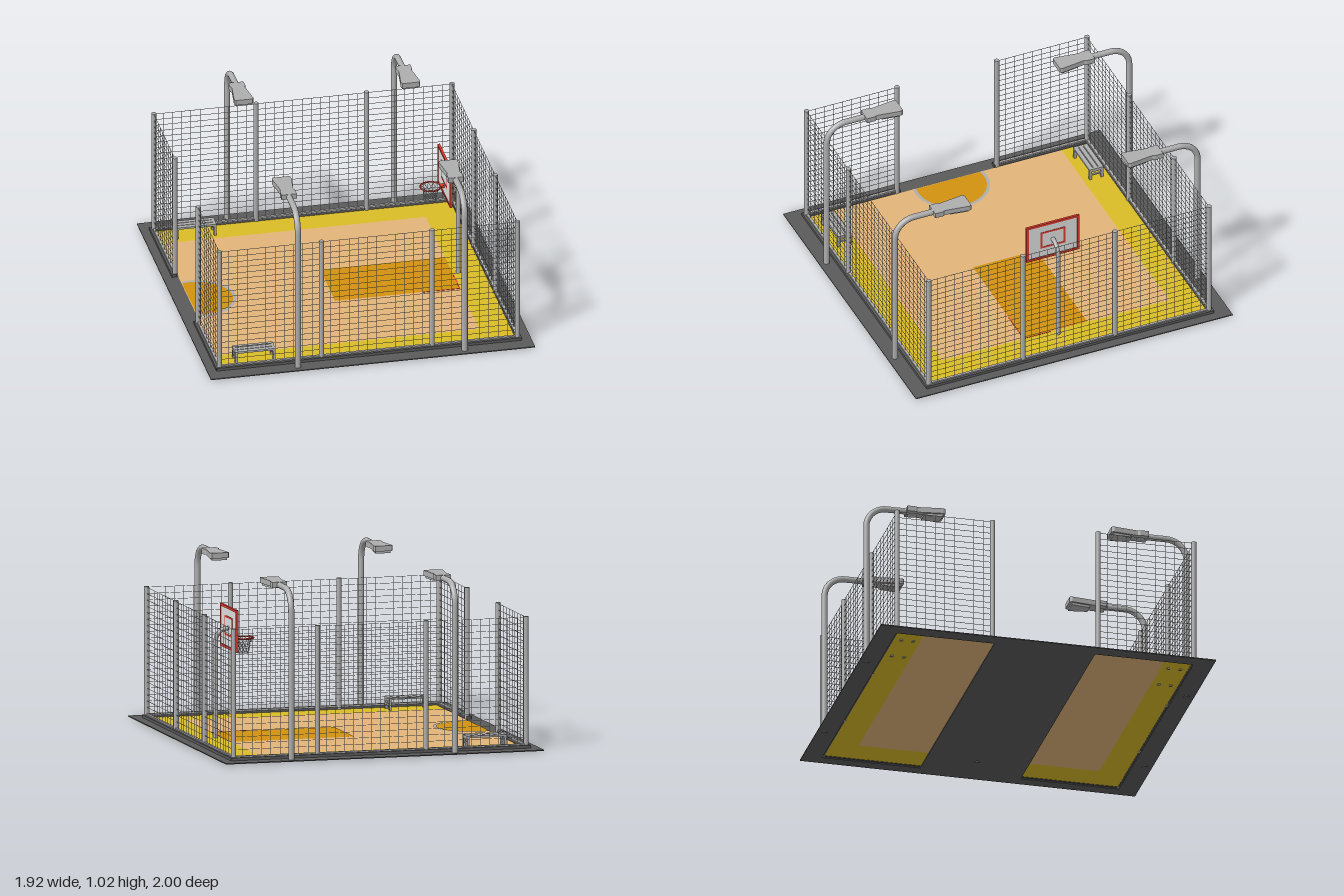
import * as THREE from 'three';
import { mergeGeometries } from 'three/addons/utils/BufferGeometryUtils.js';

const mat = (name, color, side = THREE.FrontSide) => {
  const m = new THREE.MeshStandardMaterial({ color, side });
  m.name = name;
  return m;
};

export function createModel() {
  const root = new THREE.Group();
  const M = {
    asphalt: mat('asphalt', 0x5a5a5a),
    steel: mat('steel', 0xaeaeae),
    yellow: mat('yellow floor', 0xdbbd26, THREE.DoubleSide),
    tan: mat('tan floor', 0xe3b57a, THREE.DoubleSide),
    orange: mat('orange floor', 0xd1920f, THREE.DoubleSide),
    red: mat('red paint', 0xe23b2e),
    panel: mat('backboard panel', 0xe0e2e2),
  };
  const add = (name, geo, m, parent = root) => {
    const mesh = new THREE.Mesh(geo, m);
    mesh.name = name;
    parent.add(mesh);
    return mesh;
  };
  const group = (name) => {
    const g = new THREE.Group();
    g.name = name;
    root.add(g);
    return g;
  };
  // box from its two corners
  const box = (x0, x1, y0, y1, z0, z1) =>
    new THREE.BoxGeometry(x1 - x0, y1 - y0, z1 - z0).translate((x0 + x1) / 2, (y0 + y1) / 2, (z0 + z1) / 2);
  const rect = (P, x0, x1, z0, z1) =>
    new P([[x0, z0], [x1, z0], [x1, z1], [x0, z1]].map(([x, z]) => new THREE.Vector2(x, -z)));
  // horizontal sheet at height y from a plan shape
  const flat = (shape, y) => new THREE.ShapeGeometry(shape, 24).rotateX(-Math.PI / 2).translate(0, y, 0);
  // horizontal plate of thickness h from a plan shape
  const plate = (shape, y, h) =>
    new THREE.ExtrudeGeometry(shape, { depth: h, bevelEnabled: false }).rotateX(-Math.PI / 2).translate(0, y, 0);

  // ground slab, open below the two side bays
  const slab = rect(THREE.Shape, -0.96, 0.96, 1, -1);
  for (const [z0, z1] of [[-0.885, -0.3], [0.3, 0.885]]) slab.holes.push(rect(THREE.Path, -0.87, 0.885, z0, z1));
  add('ground', plate(slab, 0.005, 0.006), M.asphalt);

  // painted floor
  const border = rect(THREE.Shape, -0.87, 0.89, 0.89, -0.89);
  border.holes.push(rect(THREE.Path, -0.869, 0.69, -0.718, 0.718));
  add('floorBorder', flat(border, 0.013), M.yellow);
  add('court', flat(rect(THREE.Shape, -0.87, 0.69, 0.718, -0.718), 0.013), M.tan);
  add('key', flat(rect(THREE.Shape, -0.05, 0.69, 0.2, -0.2), 0.0145), M.orange);
  add('redKeyLine', mergeGeometries([
    box(0.47, 0.692, 0.0135, 0.0155, 0.199, 0.204), box(0.687, 0.692, 0.0135, 0.0155, 0.03, 0.199),
  ]), M.red);

  // half circle by the entrance, cut off at the court edge
  const a = Math.acos(-0.05 / 0.225);
  const half = new THREE.Shape();
  half.absarc(-0.82, 0, 0.21, -a, a, false);
  add('halfCircle', flat(half, 0.0145), M.orange);
  const arc = new THREE.Shape();
  arc.absarc(-0.82, 0, 0.225, -a, a, false);
  arc.absarc(-0.82, 0, 0.206, a, -a, true);
  add('halfCircleLine', flat(arc, 0.016), M.steel);

  // fence: runs of kerb, rail and wire grid between two plan points
  const F = 0.885, top = 0.78;
  const fence = group('fence');
  const wires = [], kerbs = [], rails = [], posts = [];
  const run = (x0, z0, x1, z1) => {
    const dx = x1 - x0, dz = z1 - z0, len = Math.hypot(dx, dz), ang = -Math.atan2(dz, dx);
    const out = Math.sign((z0 + z1) * dx - (x0 + x1) * dz); // which local side faces away from the court
    const put = (list, g) => list.push(g.rotateY(ang).translate(x0, 0, z0));
    put(kerbs, box(-0.02, len + 0.02, 0.011, 0.028, -0.016, 0.016).translate(0, 0, out * 0.007));
    put(rails, box(0, len, 0.028, 0.036, -0.008, 0.008));
    const n = Math.round(len / 0.055), rows = 20, t = 0.0011;
    for (let i = 1; i < n; i++) {
      const u = (i / n) * len;
      put(wires, box(u - t, u + t, 0.03, top - 0.005, -t, t));
    }
    for (let j = 1; j <= rows; j++) {
      const y = 0.036 + (j / rows) * (top - 0.042);
      put(wires, box(0, len, y - t, y + t, -t, t));
    }
  };
  const post = (x, z) => posts.push(new THREE.CylinderGeometry(0.015, 0.015, top - 0.01, 12).translate(x, (top + 0.01) / 2, z));
  for (const s of [-1, 1]) {
    const xs = [-F, -0.28, 0.375, 0.88];
    xs.forEach((x, i) => {
      post(x, s * F);
      if (i) run(xs[i - 1], s * F, x, s * F);
    });
    post(0.88, s * 0.29);
    run(0.88, s * F, 0.88, s * 0.29);
    post(-F, s * 0.315);
    run(-F, s * F, -F, s * 0.315);
  }
  run(0.88, -0.29, 0.88, 0.29);
  add('kerb', mergeGeometries(kerbs), M.asphalt, fence);
  add('bottomRail', mergeGeometries(rails), M.steel, fence);
  add('wireMesh', mergeGeometries(wires), M.steel, fence);
  add('fencePosts', mergeGeometries(posts), M.steel, fence);

  // upright that bends over into a level arm, in the x-y plane
  const bentPipe = (x, y, r, reach, radius) => {
    const p = new THREE.CurvePath(), v = (px, py) => new THREE.Vector3(px, py, 0), k = r * 0.552;
    p.add(new THREE.LineCurve3(v(x, 0), v(x, y - r)));
    p.add(new THREE.CubicBezierCurve3(v(x, y - r), v(x, y - r + k), v(x - r + k, y), v(x - r, y)));
    p.add(new THREE.LineCurve3(v(x - r, y), v(reach, y)));
    return new THREE.TubeGeometry(p, 80, radius, 12);
  };

  // street lamps, built reaching towards -x and turned to face the court
  const symmetric = (pts) => new THREE.Shape(
    [...pts, ...pts.map(([x, z]) => [x, -z]).reverse()].map(([x, z]) => new THREE.Vector2(x, z)));
  const headShape = symmetric([[0.72, 0.045], [0.67, 0.045], [0.655, 0.038], [0.51, 0.057], [0.495, 0.05]]);
  const lensShape = symmetric([[0.62, 0.03], [0.51, 0.045]]);
  for (const x of [-0.435, 0.553]) for (const s of [-1, 1]) {
    const lamp = group('lamp');
    add('lampPole', bentPipe(0.955, 0.998, 0.12, 0.7, 0.018), M.steel, lamp);
    add('lampHead', plate(headShape, 0.984, 0.032), M.steel, lamp);
    add('lampLens', plate(lensShape, 0.97, 0.014), M.steel, lamp);
    lamp.rotation.y = -s * Math.PI / 2;
    lamp.position.x = x;
  }

  // slatted benches
  for (const s of [-1, 1]) {
    const bench = group('bench');
    const parts = [];
    for (const z of [-0.031, 0, 0.031]) parts.push(box(-0.12, 0.12, 0.074, 0.086, z - 0.013, z + 0.013));
    for (const x of [-0.112, 0.112]) {
      parts.push(box(x - 0.008, x + 0.008, 0.066, 0.0855, -0.044, 0.044));
      parts.push(box(x - 0.006, x + 0.006, 0.04, 0.048, -0.036, 0.036));
      for (const z of [-0.036, 0.036]) parts.push(box(x - 0.007, x + 0.007, 0.006, 0.07, z - 0.008, z + 0.008));
    }
    add('benchFrame', mergeGeometries(parts), M.steel, bench);
    bench.position.set(-0.662, 0, s * 0.796);
  }

  // basketball stand
  const hoop = group('hoop');
  add('hoopPole', bentPipe(0.725, 0.65, 0.07, 0.648, 0.013), M.steel, hoop);
  add('backboard', box(0.641, 0.649, 0.53, 0.77, -0.16, 0.16), M.panel, hoop);
  // rectangular red frame standing across the board
  const frame = (x0, x1, y0, y1, z, t) => mergeGeometries([
    box(x0, x1, y0, y0 + t, -z, z), box(x0, x1, y1 - t, y1, -z, z),
    box(x0, x1, y0 + t, y1 - t, -z, -z + t), box(x0, x1, y0 + t, y1 - t, z - t, z),
  ]);
  add('backboardFrame', frame(0.638, 0.652, 0.527, 0.775, 0.167, 0.014), M.red, hoop);
  add('targetSquare', frame(0.6395, 0.6505, 0.602, 0.717, 0.078, 0.011), M.red, hoop);
  add('rimBracket', box(0.615, 0.641, 0.58, 0.595, -0.014, 0.014), M.red, hoop);
  add('rim', new THREE.TorusGeometry(0.06, 0.005, 8, 32).rotateX(Math.PI / 2).translate(0.56, 0.59, 0), M.red, hoop);

  // net: crossing strands and rings that narrow downwards
  const net = [];
  const ringR = (t) => 0.057 - 0.025 * Math.sqrt(t);
  const point = (t, ang) => new THREE.Vector3(0.56 + ringR(t) * Math.cos(ang), 0.588 - 0.085 * t, ringR(t) * Math.sin(ang));
  for (let i = 0; i < 12; i++) for (const s of [-1, 1]) {
    const pts = [0, 0.25, 0.5, 0.75, 1].map((t) => point(t, (i / 12) * Math.PI * 2 + s * t * 1.05));
    net.push(new THREE.TubeGeometry(new THREE.CatmullRomCurve3(pts), 8, 0.0012, 4));
  }
  for (const t of [0.5, 1])
    net.push(new THREE.TorusGeometry(ringR(t), 0.0016, 4, 24).rotateX(Math.PI / 2).translate(0.56, 0.588 - 0.085 * t, 0));
  add('net', mergeGeometries(net), M.panel, hoop);

  return root;
}
